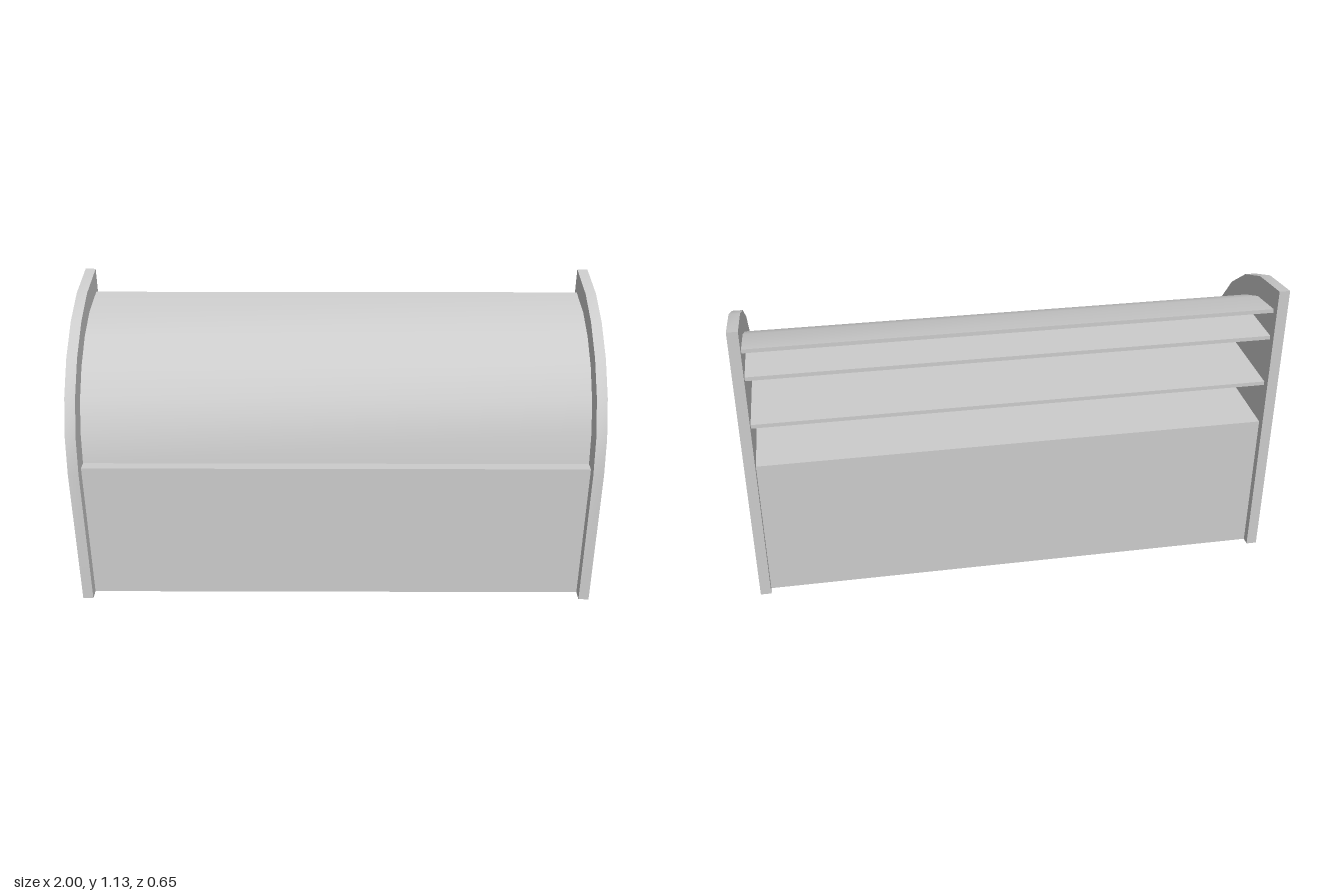
import * as THREE from 'three';
import { toCreasedNormals } from 'three/addons/utils/BufferGeometryUtils.js';

const material = new THREE.MeshStandardMaterial({ color: 0xcccccc, side: THREE.DoubleSide });

const BACK = -0.295;   // rear plane of the boards
const DECK = 0.567;    // height of the box top, where the curves spring
const T = 0.015;       // board thickness
const INNER = 1.92;    // width between the end panels
const ANGLES = [0, 15, 29.5, 44, 58.7, 72.7, 90].map(THREE.MathUtils.degToRad);

// Quarter ellipse as [z, y] points, from the front up to the back
function quarterArc(zBack, depth, height) {
  return ANGLES.map((a) => new THREE.Vector2(zBack + depth * Math.cos(a), DECK + height * Math.sin(a)));
}

// Extrude a [z, y] profile along x, centred on x
function extrudeAlongX(name, points, width, x = 0) {
  const flat = new THREE.ExtrudeGeometry(new THREE.Shape(points), { depth: width, bevelEnabled: false });
  flat.translate(0, 0, -width / 2).rotateY(-Math.PI / 2);
  const mesh = new THREE.Mesh(toCreasedNormals(flat, 0.5), material);
  mesh.name = name;
  mesh.position.x = x;
  return mesh;
}

// Full-width board given by its y and z limits
function board(name, y0, y1, z0, z1) {
  const mesh = new THREE.Mesh(new THREE.BoxGeometry(INNER, y1 - y0, z1 - z0), material);
  mesh.name = name;
  mesh.position.set(0, (y0 + y1) / 2, (z0 + z1) / 2);
  return mesh;
}

export function createModel() {
  const group = new THREE.Group();
  group.name = 'rollTopBox';

  // End panels with curved front top
  const endProfile = [
    new THREE.Vector2(-0.327, 0),
    new THREE.Vector2(0.327, 0),
    ...quarterArc(-0.327, 0.654, 0.568),
  ];
  for (const [name, side] of [['leftEndPanel', 1], ['rightEndPanel', -1]]) {
    group.add(extrudeAlongX(name, endProfile, 0.04, side * 0.98));
  }

  // Lower box, open underneath
  group.add(board('frontPanel', 0, DECK, 0.28 - T, 0.28));
  group.add(board('backPanel', 0, DECK - T, BACK, BACK + T));
  group.add(board('deck', DECK - T, DECK, BACK, 0.28 - T));

  // Curved cover, open at the back
  const depth = 0.535, height = 0.483;
  const cover = [
    ...quarterArc(BACK, depth, height),
    ...quarterArc(BACK, depth - T, height - T).reverse(),
  ];
  group.add(extrudeAlongX('curvedCover', cover, INNER));

  // Shelves reaching forward to the inside of the cover
  for (const [name, top] of [['lowerShelf', 0.745], ['upperShelf', 0.94]]) {
    const s = (top - DECK) / (height - T);
    const front = BACK + (depth - T) * Math.sqrt(1 - s * s) - 0.005;
    group.add(board(name, top - T, top, BACK, front));
  }

  return group;
}
